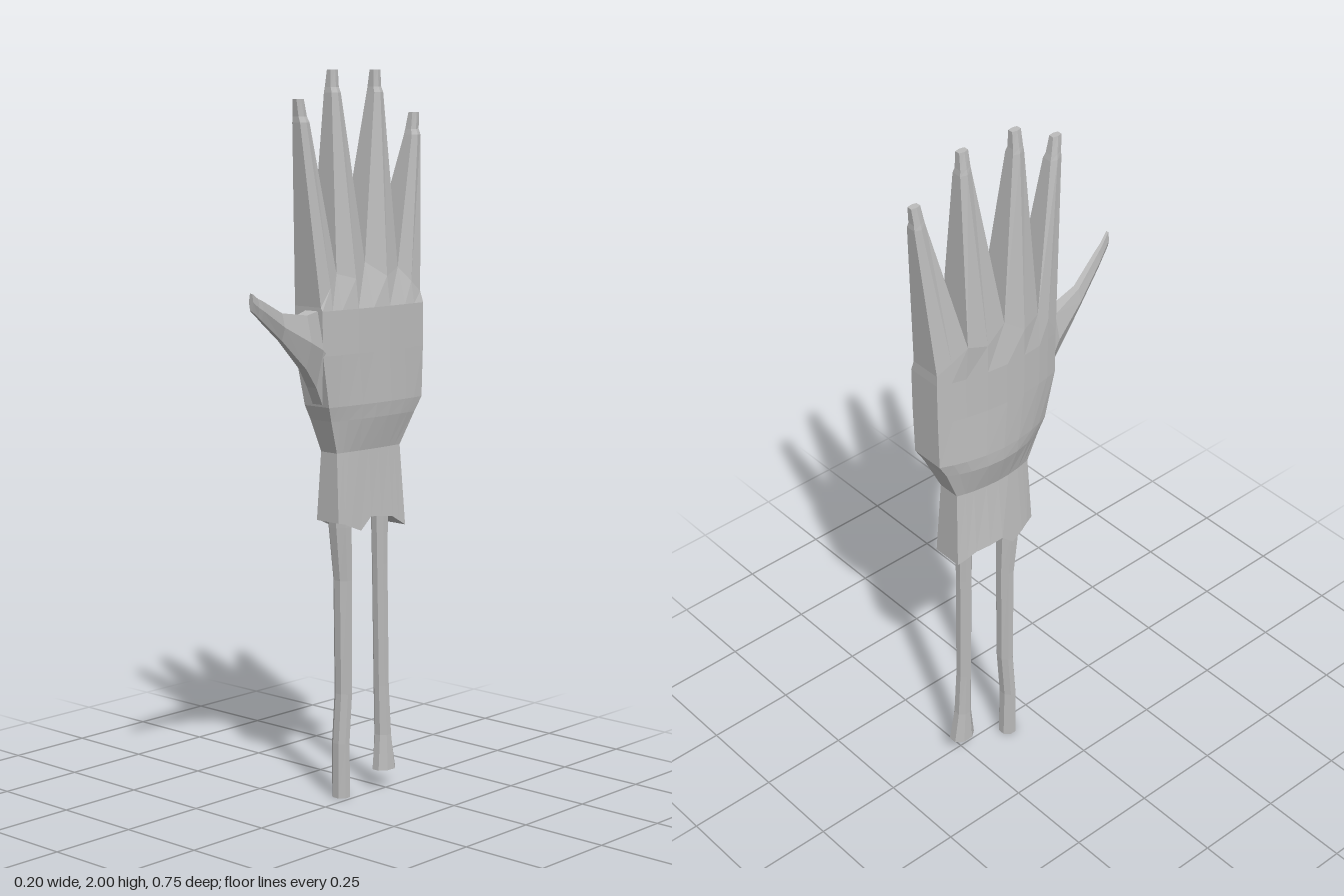
import * as THREE from 'three';

const skin = new THREE.MeshStandardMaterial({ color: 0xbcbcbc });
skin.name = 'plain grey';

// Faceted skin over rings of equal point count, turned outwards; caps are fans
function loft(name, rings, capStart = true, capEnd = true, inward = null) {
  const tris = [];
  const n = rings[0].length;
  const middle = (r) => r.reduce((s, p) => s.add(p), new THREE.Vector3()).divideScalar(r.length);
  for (let i = 0; i < rings.length - 1; i++) {
    for (let j = 0; j < n; j++) {
      const k = (j + 1) % n;
      const a = rings[i][j], b = rings[i][k], c = rings[i + 1][k], d = rings[i + 1][j];
      tris.push([a, b, c], [a, c, d]);
    }
  }
  const cap = (r, flip) => {
    const m = inward && !flip ? middle(r).add(inward) : middle(r);
    r.forEach((p, j) => {
      const q = r[(j + 1) % n];
      tris.push(flip ? [p, q, m] : [q, p, m]);
    });
  };
  if (capStart) cap(rings[0], false);
  if (capEnd) cap(rings[rings.length - 1], true);
  // Signed volume about the middle tells which way the faces point
  const o = middle(rings.flat());
  let volume = 0;
  for (const [a, b, c] of tris) {
    volume += a.clone().sub(o).dot(b.clone().sub(o).cross(c.clone().sub(o)));
  }
  const points = tris.flatMap(([a, b, c]) => (volume < 0 ? [a, c, b] : [a, b, c]));
  const geometry = new THREE.BufferGeometry().setFromPoints(points);
  geometry.computeVertexNormals();
  const mesh = new THREE.Mesh(geometry, skin);
  mesh.name = name;
  return mesh;
}

// Value at t of the parabola through three numbers at t = 0, 0.5, 1
const bend = ([a, b, c], t) =>
  a * (1 - t) * (1 - 2 * t) + 4 * b * t * (1 - t) + c * t * (2 * t - 1);

// Stations across the hand: even ones are finger gaps, odd ones finger middles
const stations = [0, 0.09, 0.18, 0.33, 0.48, 0.64, 0.8, 0.9, 1];

// Hand cross-section: palm side first, then the back of the hand in reverse
function handRing(ys, z0, z1, palm, back) {
  const side = (xs) => stations.map((t, i) => new THREE.Vector3(
    bend(xs, t), Array.isArray(ys) ? ys[i] : ys, z0 + (z1 - z0) * t));
  return [...side(palm), ...side(back).reverse()];
}

// Six-sided finger cross-section at a height
function fingerRing(x, y, z, hx, hz) {
  return [[0.7, 1], [1, 0], [0.7, -1], [-0.7, -1], [-1, 0], [-0.7, 1]]
    .map(([u, v]) => new THREE.Vector3(x + u * hx, y, z + v * hz));
}

// Bone running down through [x, y, z, radiusX, radiusZ] stations
function bone(name, path) {
  return loft(name, path.map(([x, y, z, rx, rz]) =>
    Array.from({ length: 8 }, (_, i) => {
      const a = ((i + 0.5) / 8) * Math.PI * 2;
      return new THREE.Vector3(x + Math.cos(a) * rx, y, z + Math.sin(a) * rz);
    })));
}

export function createModel() {
  const group = new THREE.Group();
  group.name = 'hand';

  // Palm and torn wrist
  const palm = [0.018, 0.04, 0.045], back = [-0.082, -0.1, -0.055];
  const gaps = [1.38, 1.43, 1.465, 1.45, 1.49, 1.45, 1.47, 1.43, 1.4];
  const knuckles = handRing(gaps, 0.03, -0.345, [0.012, 0.03, 0.035], back);
  for (const i of [2, 4, 6]) {
    knuckles[i].x = i === 6 ? 0.018 : 0.006;
    knuckles[17 - i].x = -0.088;
  }
  group.add(loft('palm', [
    handRing([0.79, 0.785, 0.775, 0.76, 0.795, 0.79, 0.785, 0.77, 0.755],
      -0.042, -0.295, [0.01, 0.02, 0.028], [-0.07, -0.09, -0.06]),
    handRing(0.98, -0.046, -0.285, [0, 0.012, 0.015], [-0.058, -0.072, -0.05]),
    handRing(1.07, -0.015, -0.322, [0.008, 0.034, 0.036], [-0.068, -0.1, -0.056]),
    handRing(1.11, 0, -0.345, [0.014, 0.04, 0.042], [-0.075, -0.102, -0.056]),
    handRing(1.25, 0.028, -0.346, palm, back),
    handRing(1.37, 0.03, -0.346, palm, back),
    knuckles,
  ], true, false, new THREE.Vector3(0, 0.05, 0)));

  // Fingers grow from the knuckle edge: tip x, y, z and lean of the last joint
  const fingers = [
    ['indexFinger', -0.035, 1.925, 0.066, 0.01],
    ['middleFinger', -0.044, 2, -0.075, 0],
    ['ringFinger', -0.034, 2, -0.233, 0],
    ['littleFinger', -0.006, 1.885, -0.361, -0.006],
  ];
  fingers.forEach(([name, x, y, z, lean], f) => {
    const i = f * 2;
    const base = [i, i + 1, i + 2, 15 - i, 16 - i, 17 - i].map((k) => knuckles[k]);
    group.add(loft(name, [
      base,
      fingerRing(x, y - 0.06, z - lean, 0.02, 0.018),
      fingerRing(x - 0.002, y - 0.045, z - lean * 0.8, 0.015, 0.016),
      fingerRing(x, y, z, 0.01, 0.014),
    ], false, true));
  });

  // Thumb stations: z, low y, high y, low x, high x
  const thumb = [
    [-0.02, 1.08, 1.38, -0.075, 0.012],
    [0.03, 1.165, 1.37, -0.065, 0.022],
    [0.09, 1.222, 1.365, -0.032, 0.036],
    [0.2, 1.308, 1.38, 0.006, 0.044],
    [0.315, 1.372, 1.424, 0.055, 0.08],
    [0.335, 1.384, 1.43, 0.065, 0.085],
    [0.373, 1.402, 1.447, 0.084, 0.1],
  ];
  group.add(loft('thumb', thumb.map(([z, y0, y1, x0, x1]) =>
    [[0.3, 0], [0.7, 0], [1, 0.5], [0.75, 1], [0.25, 1], [0, 0.5]].map(([u, v]) =>
      new THREE.Vector3(x0 + (x1 - x0) * u, y0 + (y1 - y0) * v, z)))));

  // Forearm bones
  group.add(bone('thickBone', [
    [-0.035, 0.86, -0.09, 0.034, 0.034],
    [-0.035, 0.77, -0.097, 0.034, 0.032],
    [-0.034, 0.62, -0.107, 0.028, 0.025],
    [-0.034, 0.3, -0.11, 0.027, 0.022],
    [-0.036, 0.16, -0.102, 0.027, 0.022],
    [-0.036, 0.005, -0.104, 0.027, 0.025],
  ]));
  group.add(bone('thinBone', [
    [-0.015, 0.86, -0.235, 0.026, 0.026],
    [-0.015, 0.65, -0.238, 0.023, 0.022],
    [-0.014, 0.3, -0.245, 0.023, 0.021],
    [-0.012, 0.16, -0.25, 0.025, 0.024],
    [-0.01, 0.06, -0.253, 0.03, 0.038],
  ]));
  return group;
}
